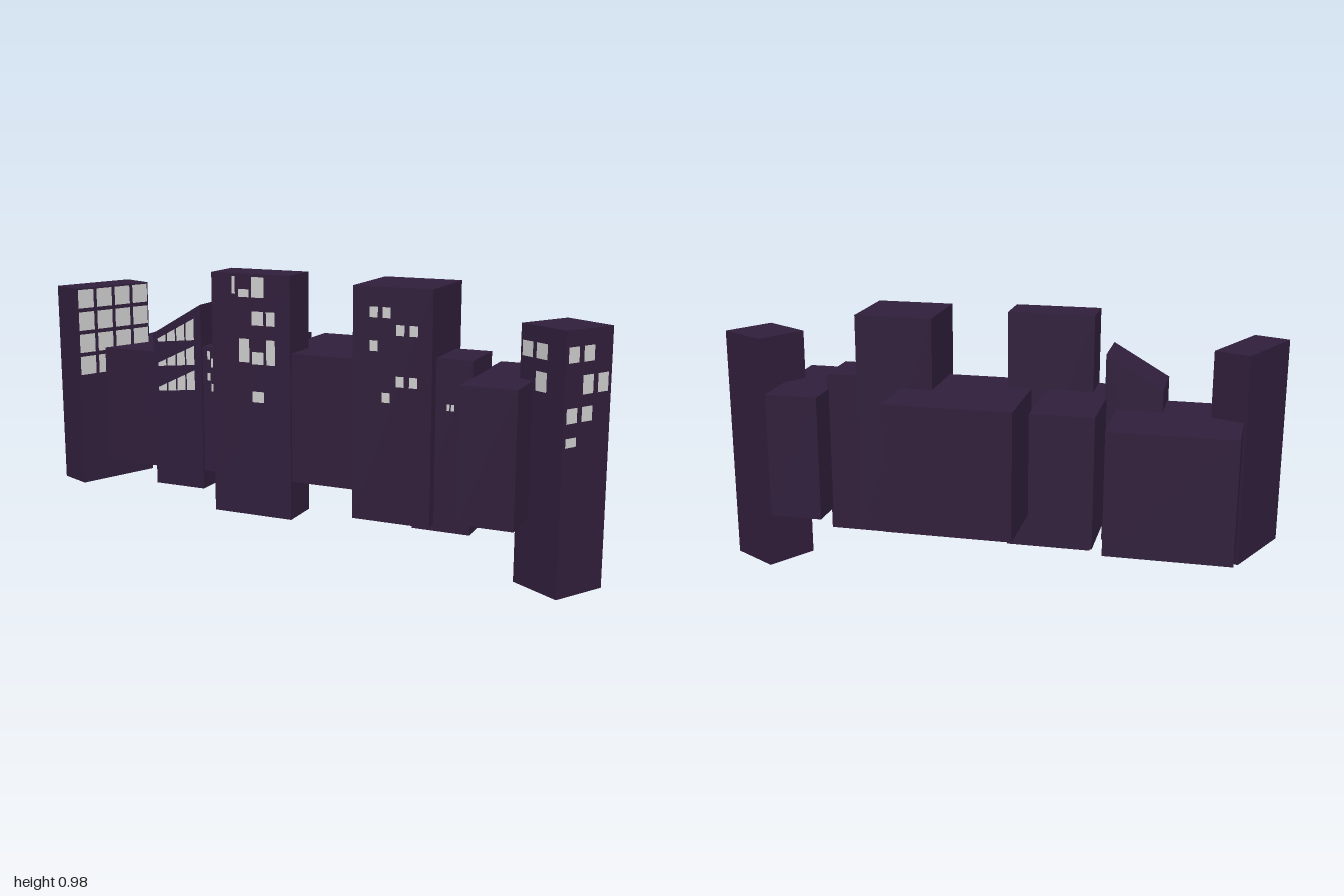
import * as THREE from 'three';

const wall = new THREE.MeshStandardMaterial({ color: 0x301e3b });
const glass = new THREE.MeshStandardMaterial({ color: 0xcccccc, side: THREE.DoubleSide });
const GAP = 0.002; // panes sit just off the wall

const polygon = (pts) => new THREE.Shape(pts.map(([x, y]) => new THREE.Vector2(x, y)));
const pane = ([x0, x1, y0, y1]) => polygon([[x0, y0], [x1, y0], [x1, y1], [x0, y1]]);

export function createModel() {
  const city = new THREE.Group();
  city.name = 'citySkyline';

  const add = (name, geometry, material, x, y, z, turn = 0) => {
    const mesh = new THREE.Mesh(geometry, material);
    mesh.name = name;
    mesh.position.set(x, y, z);
    mesh.rotation.y = turn;
    city.add(mesh);
    return mesh;
  };

  // Axis-aligned blocks: name, x range, y range, z range
  const blocks = [
    ['leftWideBlock', -0.87, -0.445, 0.25, 0.675, -0.3, 0.125],
    ['leftRearBlock', -0.41, -0.195, 0.265, 0.715, -0.29, 0.16],
    ['slimTower', -0.355, -0.055, 0.13, 0.98, 0.03, 0.175],
    ['centreBlock', -0.14, 0.305, 0.265, 0.715, -0.29, 0.165],
    ['squareTower', 0.19, 0.465, 0.18, 0.965, -0.07, 0.21],
    ['narrowBlock', 0.39, 0.59, 0.16, 0.74, -0.03, 0.17],
    ['deepBlock', 0.585, 0.775, 0.235, 0.685, -0.155, 0.3],
  ];
  for (const [name, x0, x1, y0, y1, z0, z1] of blocks) {
    add(name, new THREE.BoxGeometry(x1 - x0, y1 - y0, z1 - z0), wall,
      (x0 + x1) / 2, (y0 + y1) / 2, (z0 + z1) / 2);
  }

  // Building with a sloping roof
  const sloped = polygon([[-0.6, 0.2], [-0.405, 0.2], [-0.405, 0.863], [-0.6, 0.75]]);
  add('slopedRoofBuilding',
    new THREE.ExtrudeGeometry(sloped, { depth: 0.2, bevelEnabled: false }), wall, 0, 0, -0.03);

  // Turned end towers
  const slab = { x: -0.881, z: 0.06, w: 0.305, d: 0.128, turn: 1.166 };
  const corner = { x: 0.8625, z: 0.073, w: 0.2, d: 0.2, turn: -0.553 };
  add('leftEndTower', new THREE.BoxGeometry(slab.w, 0.72, slab.d), wall, slab.x, 0.54, slab.z, slab.turn);
  add('rightEndTower', new THREE.BoxGeometry(corner.w, 0.862, corner.d), wall, corner.x, 0.431, corner.z, corner.turn);

  // Windows on faces looking straight forward: [x0, x1, y0, y1]
  const frontWindows = (name, z, rects) =>
    add(name, new THREE.ShapeGeometry(rects.map(pane)), glass, 0, 0, z + GAP);

  // Windows on a turned tower's face; u is measured from the face's left edge
  const turnedWindows = (name, tower, turn, width, depth, rects) => {
    const off = depth / 2 + GAP;
    const x = tower.x + Math.sin(turn) * off - Math.cos(turn) * width / 2;
    const z = tower.z + Math.cos(turn) * off + Math.sin(turn) * width / 2;
    add(name, new THREE.ShapeGeometry(rects.map(pane)), glass, x, 0, z, turn);
  };

  frontWindows('slimTowerWindows', 0.175, [
    [-0.275, -0.263, 0.91, 0.97], [-0.25, -0.21, 0.9, 0.927], [-0.2, -0.153, 0.9, 0.97],
    [-0.2, -0.155, 0.805, 0.853], [-0.145, -0.112, 0.805, 0.853],
    [-0.25, -0.21, 0.675, 0.757], [-0.2, -0.155, 0.67, 0.713], [-0.145, -0.112, 0.67, 0.757],
    [-0.2, -0.155, 0.537, 0.575],
  ]);
  frontWindows('squareTowerWindows', 0.21, [
    [0.25, 0.278, 0.865, 0.9], [0.294, 0.322, 0.865, 0.9],
    [0.342, 0.37, 0.81, 0.845], [0.388, 0.416, 0.81, 0.845], [0.25, 0.278, 0.755, 0.79],
    [0.342, 0.37, 0.642, 0.677], [0.388, 0.416, 0.642, 0.677], [0.294, 0.322, 0.587, 0.62],
  ]);
  frontWindows('narrowBlockWindows', 0.17, [
    [0.545, 0.556, 0.633, 0.655], [0.562, 0.577, 0.633, 0.655],
    [0.503, 0.513, 0.57, 0.592], [0.518, 0.529, 0.57, 0.592], [0.551, 0.562, 0.527, 0.55],
  ]);
  frontWindows('leftRearBlockWindows', 0.16, [
    [-0.385, -0.374, 0.67, 0.7], [-0.37, -0.357, 0.643, 0.675],
    [-0.385, -0.374, 0.595, 0.622], [-0.37, -0.357, 0.557, 0.585],
  ]);

  // Fanning rows of windows under the sloping roof
  const fan = [];
  for (const [b0, b1, t0, t1] of [
    [0.722, 0.737, 0.733, 0.813], [0.634, 0.649, 0.646, 0.717], [0.544, 0.559, 0.558, 0.63],
  ]) {
    const at = (a, b, t) => a + (b - a) * t;
    for (let i = 0; i < 4; i++) {
      const s = i * 0.26, e = s + 0.22;
      const x = (t) => -0.58 + 0.148 * t;
      fan.push(polygon([[x(s), at(b0, b1, s)], [x(e), at(b0, b1, e)],
        [x(e), at(t0, t1, e)], [x(s), at(t0, t1, s)]]));
    }
  }
  add('slopedRoofWindows', new THREE.ShapeGeometry(fan), glass, 0, 0, 0.17 + GAP);

  // Window grid on the left end tower
  const grid = [];
  for (let r = 0; r < 4; r++) {
    for (let c = 0; c < 4; c++) {
      const u = 0.005 + c * 0.077, top = 0.895 - r * 0.081;
      grid.push([u, u + 0.064, top - 0.067, top]);
    }
  }
  turnedWindows('leftEndTowerWindows', slab, slab.turn, slab.w, slab.d, grid);

  // Windows on both outer faces of the right end tower
  turnedWindows('rightEndTowerFrontWindows', corner, corner.turn, 0.2, 0.2, [
    [0.01, 0.057, 0.76, 0.81], [0.073, 0.122, 0.76, 0.81], [0.073, 0.122, 0.657, 0.72],
  ]);
  turnedWindows('rightEndTowerSideWindows', corner, corner.turn + Math.PI / 2, 0.2, 0.2, [
    [0.01, 0.055, 0.76, 0.81], [0.075, 0.12, 0.76, 0.81],
    [0.075, 0.12, 0.657, 0.718], [0.14, 0.185, 0.657, 0.718],
    [0.01, 0.055, 0.57, 0.618], [0.075, 0.12, 0.57, 0.618], [0.01, 0.055, 0.494, 0.524],
  ]);

  return city;
}
